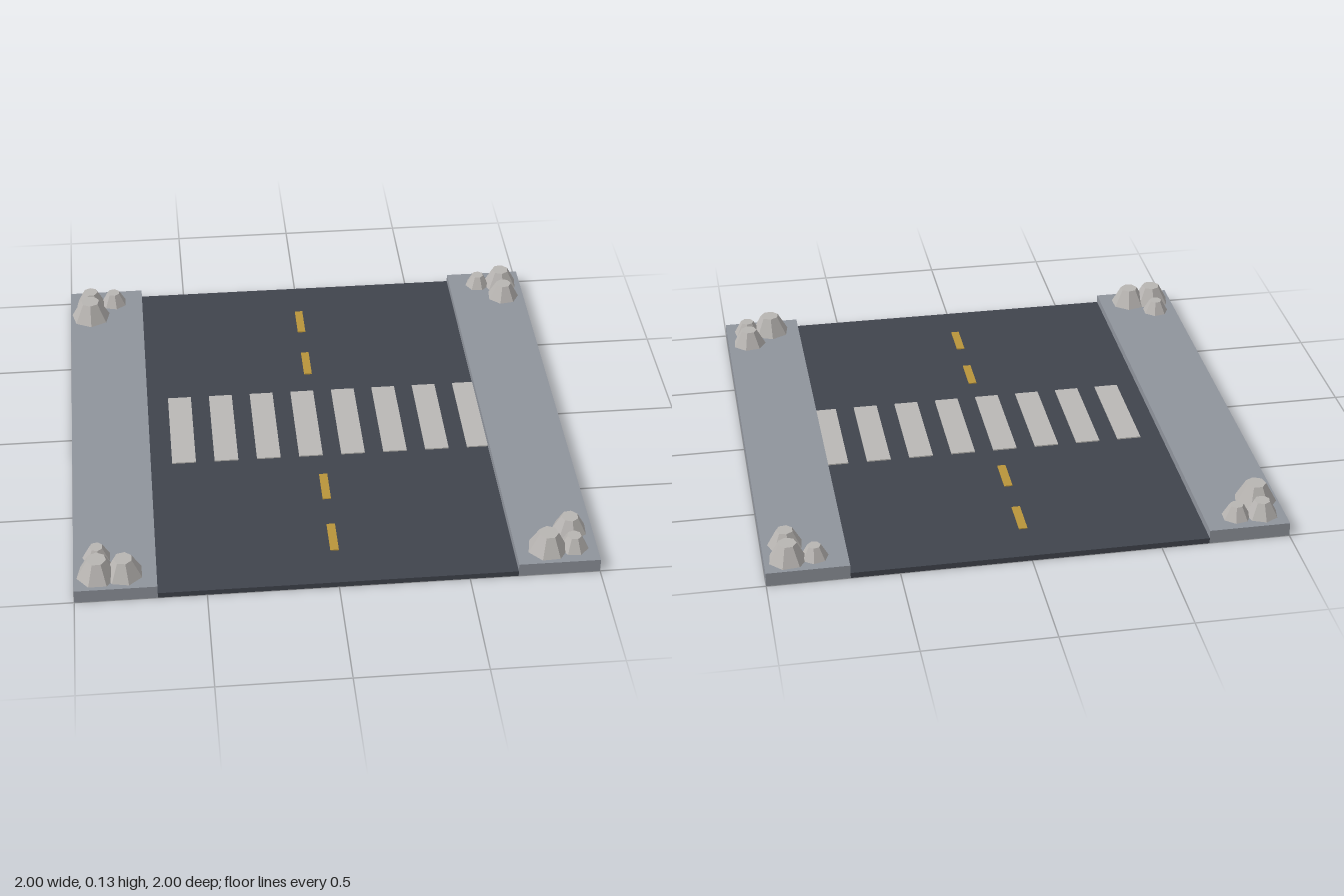
import * as THREE from 'three';

const mat = (name, color) => {
  const m = new THREE.MeshStandardMaterial({ color });
  m.name = name;
  return m;
};

export function createModel() {
  const model = new THREE.Group();
  model.name = 'roadCrossing';

  const asphalt = mat('asphalt', 0x40444d);
  const pavement = mat('pavement', 0x8f949c);
  const whitePaint = mat('whitePaint', 0xbab8b5);
  const yellowPaint = mat('yellowPaint', 0xb9943a);
  const stone = mat('stone', 0xb8b5b2);

  // Box standing on a given height
  const box = (name, material, w, h, d, x, y, z) => {
    const mesh = new THREE.Mesh(new THREE.BoxGeometry(w, h, d), material);
    mesh.name = name;
    mesh.position.set(x, y + h / 2, z);
    model.add(mesh);
  };

  const roadTop = 0.022, kerbTop = 0.055, roadHalf = 0.686;
  box('road', asphalt, roadHalf * 2, roadTop, 2, 0, 0, 0);

  // Pavements
  for (const side of [-1, 1]) {
    box(side > 0 ? 'leftPavement' : 'rightPavement', pavement,
      1 - roadHalf, kerbTop, 2, side * (1 + roadHalf) / 2, 0, 0);
  }

  // Crossing stripes; the last one runs slightly under the kerb
  for (let i = 0; i < 8; i++) {
    box('crossingStripe', whitePaint, 0.096, 0.005, 0.44, -0.552 + i * 0.1715, roadTop, 0);
  }

  // Centre line dashes
  for (const z of [-0.736, -0.422, 0.422, 0.736]) {
    box('centreDash', yellowPaint, 0.033, 0.004, 0.157, 0, roadTop, z);
  }

  // Corner stones: x, z, radius, turn
  const stones = [
    [-0.91, -0.915, 0.065, 0.5], [-0.81, -0.915, 0.056, 0.2], [-0.912, -0.815, 0.083, 0],
    [0.81, -0.915, 0.053, 0.3], [0.91, -0.915, 0.075, 0.1], [0.91, -0.815, 0.068, 0.6],
    [-0.91, 0.81, 0.055, 0.2], [-0.91, 0.91, 0.08, 0.45], [-0.81, 0.91, 0.076, 0.25],
    [0.81, 0.91, 0.08, 0.5], [0.91, 0.81, 0.07, 0.15], [0.91, 0.91, 0.058, 0.35],
  ];
  for (const [x, z, r, turn] of stones) {
    const h = r * 0.95;
    const geometry = new THREE.CylinderGeometry(r * 0.48, r, h, 7).toNonIndexed();
    geometry.computeVertexNormals(); // flat facets
    const mesh = new THREE.Mesh(geometry, stone);
    mesh.name = 'cornerStone';
    mesh.position.set(x, kerbTop + h / 2, z);
    mesh.rotation.y = turn;
    model.add(mesh);
  }

  return model;
}
